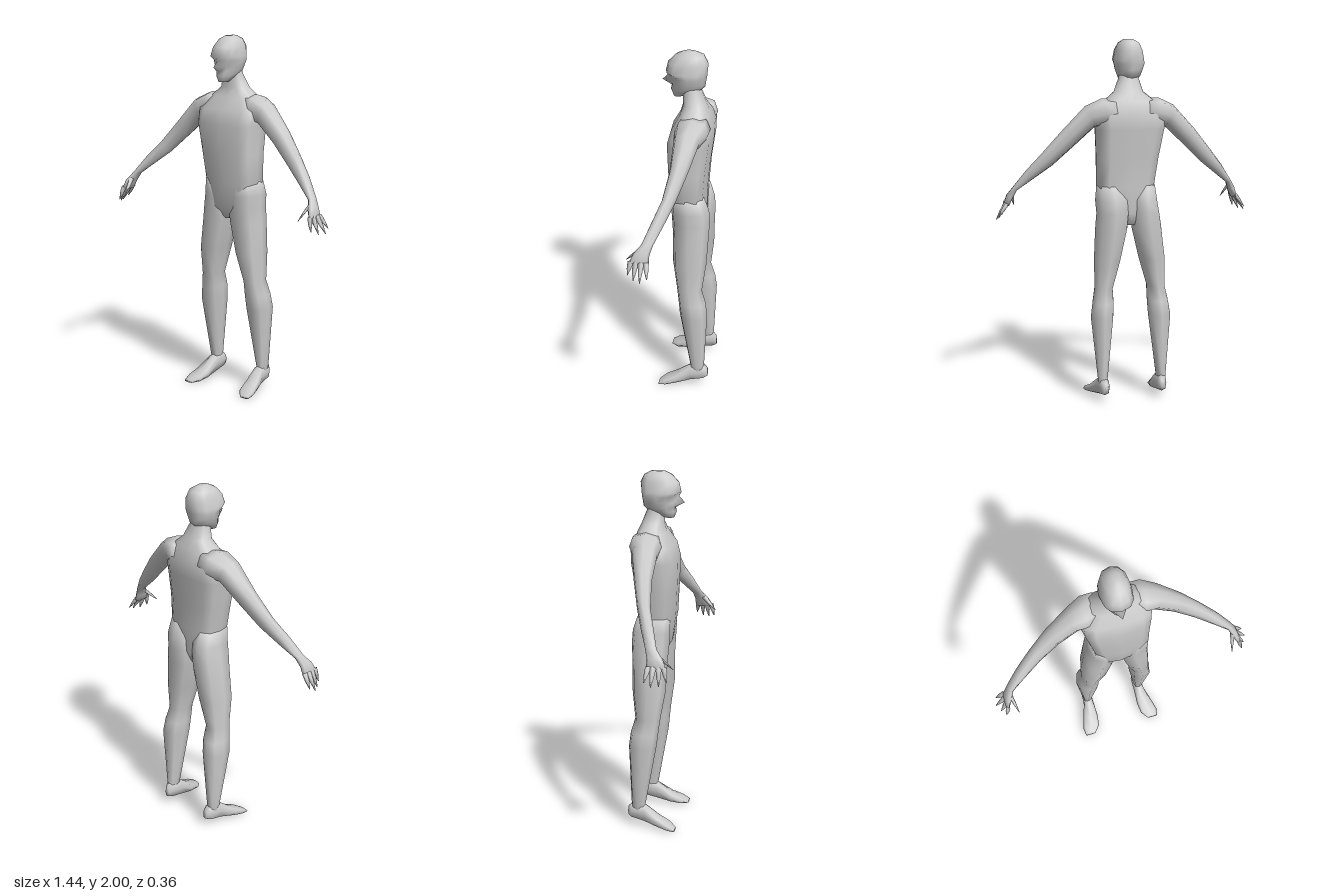
import * as THREE from 'three';

const material = new THREE.MeshStandardMaterial({ color: 0xcccccc });

// Smooth skin through rings { c, u, v, k, front }; u x v points along the loft.
// front pushes the first vertex along u (nose, spine and the like).
function loft(name, rings, { sides = 8, mirror = false } = {}) {
  const pos = [], index = [], sx = mirror ? -1 : 1;
  const power = (t, k) => Math.sign(t) * Math.pow(Math.abs(t), k);
  const push = (p) => pos.push(p.x * sx, p.y, p.z);
  const tri = (a, b, c) => (mirror ? index.push(a, c, b) : index.push(a, b, c));
  for (const { c, u, v, k = 0.8, front = 0 } of rings) {
    for (let j = 0; j < sides; j++) {
      const a = (j / sides) * Math.PI * 2;
      const p = c.clone()
        .addScaledVector(u, power(Math.cos(a), k))
        .addScaledVector(v, power(Math.sin(a), k));
      if (j === 0) p.addScaledVector(u.clone().normalize(), front);
      push(p);
    }
  }
  const n = rings.length;
  for (let i = 0; i < n - 1; i++) {
    for (let j = 0; j < sides; j++) {
      const a = i * sides + j, b = i * sides + ((j + 1) % sides);
      tri(a, b, b + sides);
      tri(a, b + sides, a + sides);
    }
  }
  // End caps
  const start = n * sides;
  push(rings[0].c);
  push(rings[n - 1].c);
  for (let j = 0; j < sides; j++) {
    const next = (j + 1) % sides, last = (n - 1) * sides;
    tri(start, next, j);
    tri(start + 1, last + j, last + next);
  }
  const geometry = new THREE.BufferGeometry();
  geometry.setAttribute('position', new THREE.Float32BufferAttribute(pos, 3));
  geometry.setIndex(index);
  geometry.computeVertexNormals();
  const mesh = new THREE.Mesh(geometry, material);
  mesh.name = name;
  return mesh;
}

const V = (x, y, z) => new THREE.Vector3(x, y, z);

// Horizontal ring from its extents
const level = (y, x0, x1, z0, z1, k, front) => ({
  c: V((x0 + x1) / 2, y, (z0 + z1) / 2),
  u: V(0, 0, (z1 - z0) / 2), v: V((x1 - x0) / 2, 0, 0), k, front,
});

// Upright ring facing forward
const slice = (z, x0, x1, y0, y1) => ({
  c: V((x0 + x1) / 2, (y0 + y1) / 2, z),
  u: V((x1 - x0) / 2, 0, 0), v: V(0, (y1 - y0) / 2, 0), k: 0.7,
});

// Ring across the slanting arm: r thick, w deep in z
const across = (x, y, z, r, w, tilt = Math.PI / 4) => ({
  c: V(x, y, z), u: V(Math.cos(tilt) * r, Math.sin(tilt) * r, 0), v: V(0, 0, w),
});

function torso() {
  return loft('torso', [
    level(0.99, -0.03, 0.03, -0.11, 0.0),
    level(1.06, -0.11, 0.12, -0.14, 0.04, 0.7),
    level(1.2, -0.14, 0.183, -0.14, 0.055, 0.6),
    level(1.36, -0.165, 0.183, -0.15, 0.065, 0.6),
    level(1.52, -0.195, 0.19, -0.17, 0.072, 0.6),
    level(1.6, -0.2, 0.2, -0.172, 0.05, 0.65),
    level(1.67, -0.14, 0.15, -0.15, 0.01, 0.8),
    level(1.72, -0.075, 0.09, -0.13, -0.005, 0.9),
    level(1.79, -0.055, 0.06, -0.1, 0.0, 0.9),
    level(1.85, -0.05, 0.05, -0.09, 0.0, 0.9),
  ], { sides: 12 });
}

// Head with chin, mouth, nose, sunken eyes and brow
function head() {
  return loft('head', [
    level(1.752, -0.03, 0.022, 0.0, 0.05, 0.9),
    level(1.785, -0.058, 0.05, -0.09, 0.065, 1.1),
    level(1.808, -0.07, 0.062, -0.118, 0.06, 1.1),
    level(1.835, -0.08, 0.072, -0.122, 0.062, 1, 0.047),
    level(1.868, -0.088, 0.08, -0.128, 0.058, 0.9, 0.02),
    level(1.89, -0.086, 0.08, -0.13, 0.09, 0.8),
    level(1.94, -0.075, 0.072, -0.135, 0.078, 0.85),
    level(1.98, -0.058, 0.056, -0.115, 0.04, 0.9),
    level(2.0, -0.025, 0.025, -0.075, 0.0, 1),
  ], { sides: 12 });
}

function leg(side, mirror) {
  const hip = mirror ? 0.145 : 0.183;
  return loft(side + 'Leg', [
    level(0.07, 0.145, 0.19, -0.16, -0.085),
    level(0.13, 0.14, 0.195, -0.158, -0.078),
    level(0.48, 0.1, 0.228, -0.172, -0.015),
    level(0.56, 0.096, 0.216, -0.162, -0.006),
    level(0.64, 0.098, 0.2, -0.138, 0.004),
    level(0.8, 0.052, 0.202, -0.158, 0.03),
    level(0.97, 0.012, mirror ? 0.182 : 0.195, -0.165, 0.035),
    level(1.06, 0.004, mirror ? 0.168 : 0.187, -0.17, 0.042),
    level(1.13, 0.008, hip + 0.01, -0.165, 0.045),
    level(1.21, 0.03, hip, -0.138, 0.045),
  ], { mirror });
}

function foot(side, mirror) {
  return loft(side + 'Foot', [
    slice(-0.178, 0.145, 0.175, 0.055, 0.11),
    slice(-0.155, 0.136, 0.192, 0.042, 0.135),
    slice(-0.08, 0.135, 0.198, 0.025, 0.13),
    slice(0.0, 0.132, 0.225, 0.012, 0.068),
    slice(0.06, 0.14, 0.242, 0.004, 0.038),
    slice(0.1, 0.175, 0.235, 0.0, 0.014),
  ], { mirror });
}

function arm(side, mirror) {
  const group = new THREE.Group();
  group.name = side + 'Arm';
  group.add(loft(side + 'ArmAndPalm', [
    across(0.09, 1.615, -0.08, 0.07, 0.085, 1.5),
    across(0.15, 1.61, -0.075, 0.075, 0.09, 1.4),
    across(0.222, 1.587, -0.062, 0.063, 0.068, 1.15),
    across(0.34, 1.47, -0.045, 0.053, 0.048),
    across(0.45, 1.355, -0.014, 0.044, 0.036),
    across(0.54, 1.27, 0.025, 0.031, 0.034),
    across(0.617, 1.19, 0.062, 0.014, 0.03, 0.5),
    across(0.642, 1.145, 0.088, 0.018, 0.042, 0.5),
    across(0.66, 1.1, 0.098, 0.013, 0.052, 0.5),
  ], { mirror }));

  // Four pointed fingers, then the thumb: base, tip
  const digits = [
    [0.658, 1.11, 0.138, 0.677, 1.035, 0.155],
    [0.66, 1.11, 0.112, 0.7, 1.02, 0.12],
    [0.662, 1.11, 0.085, 0.719, 1.02, 0.082],
    [0.66, 1.11, 0.06, 0.71, 1.04, 0.046],
    [0.63, 1.165, 0.095, 0.608, 1.085, 0.176],
  ];
  digits.forEach(([x0, y0, z0, x1, y1, z1], i) => {
    const mid = (a, b) => a + (b - a) * 0.5;
    group.add(loft(i < 4 ? 'finger' : 'thumb', [
      across(x0, y0, z0, 0.012, 0.017, 0.4),
      across(mid(x0, x1), mid(y0, y1), mid(z0, z1), 0.01, 0.012, 0.4),
      across(x1, y1, z1, 0.002, 0.002, 0.4),
    ], { sides: 5, mirror }));
  });
  return group;
}

export function createModel() {
  const model = new THREE.Group();
  model.name = 'figure';
  model.add(torso(), head());
  for (const [side, mirror] of [['left', false], ['right', true]]) {
    model.add(arm(side, mirror), leg(side, mirror), foot(side, mirror));
  }
  return model;
}
